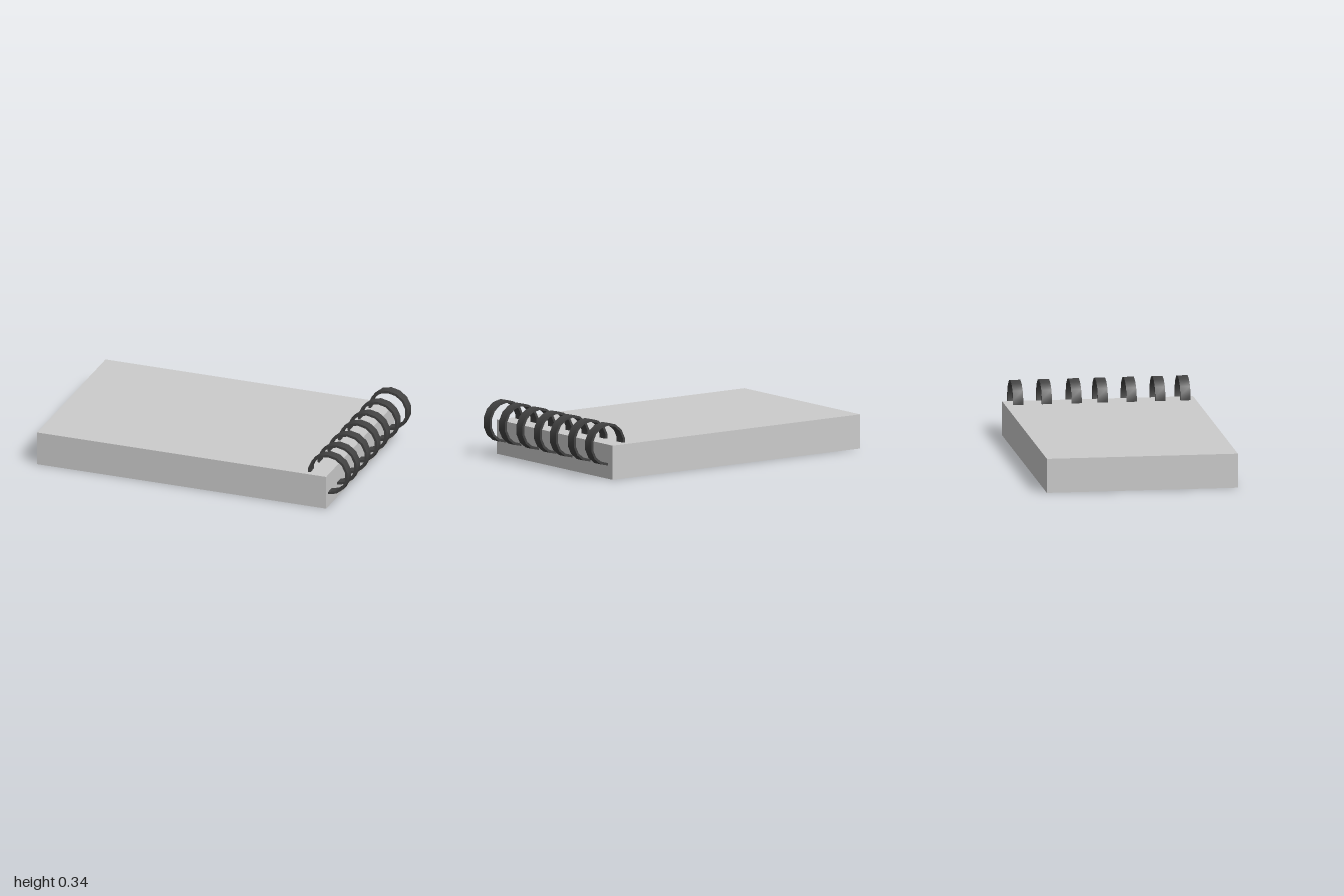
import * as THREE from 'three';
import { toCreasedNormals } from 'three/addons/utils/BufferGeometryUtils.js';

const SIDES = 14;
const RING_WIDTH = 0.062;

// Regular polygon with a vertex straight up
function polygon(radius) {
  return Array.from({ length: SIDES }, (_, i) => {
    const a = Math.PI / 2 + (i / SIDES) * Math.PI * 2;
    return new THREE.Vector2(Math.cos(a) * radius, Math.sin(a) * radius);
  });
}

// Flat band bent into a ring: smooth around, sharp at the rims
function ringGeometry() {
  const shape = new THREE.Shape(polygon(0.13));
  shape.holes.push(new THREE.Path(polygon(0.115)));
  const band = new THREE.ExtrudeGeometry(shape, { depth: RING_WIDTH, bevelEnabled: false });
  band.translate(0, 0, -RING_WIDTH / 2);
  return toCreasedNormals(band, 0.6);
}

export function createModel() {
  const model = new THREE.Group();
  model.name = 'ringBoundNotepad';

  // Block of pages
  const pages = new THREE.Mesh(
    new THREE.BoxGeometry(1.875, 0.21, 1.17),
    new THREE.MeshStandardMaterial({ color: 0xcccccc })
  );
  pages.name = 'pageBlock';
  pages.position.set(-0.0625, 0.105, 0);
  model.add(pages);

  // Binding rings around the top edge, slightly unevenly spaced
  const rings = new THREE.Group();
  rings.name = 'bindingRings';
  const geometry = ringGeometry();
  const dark = new THREE.MeshStandardMaterial({ color: 0x424242 });
  [0.52, 0.366, 0.19, 0.014, -0.147, -0.329, -0.505].forEach((z, i) => {
    const ring = new THREE.Mesh(geometry, dark);
    ring.name = `bindingRing${i + 1}`;
    ring.position.set(0.873, 0.211, z);
    rings.add(ring);
  });
  model.add(rings);

  return model;
}
